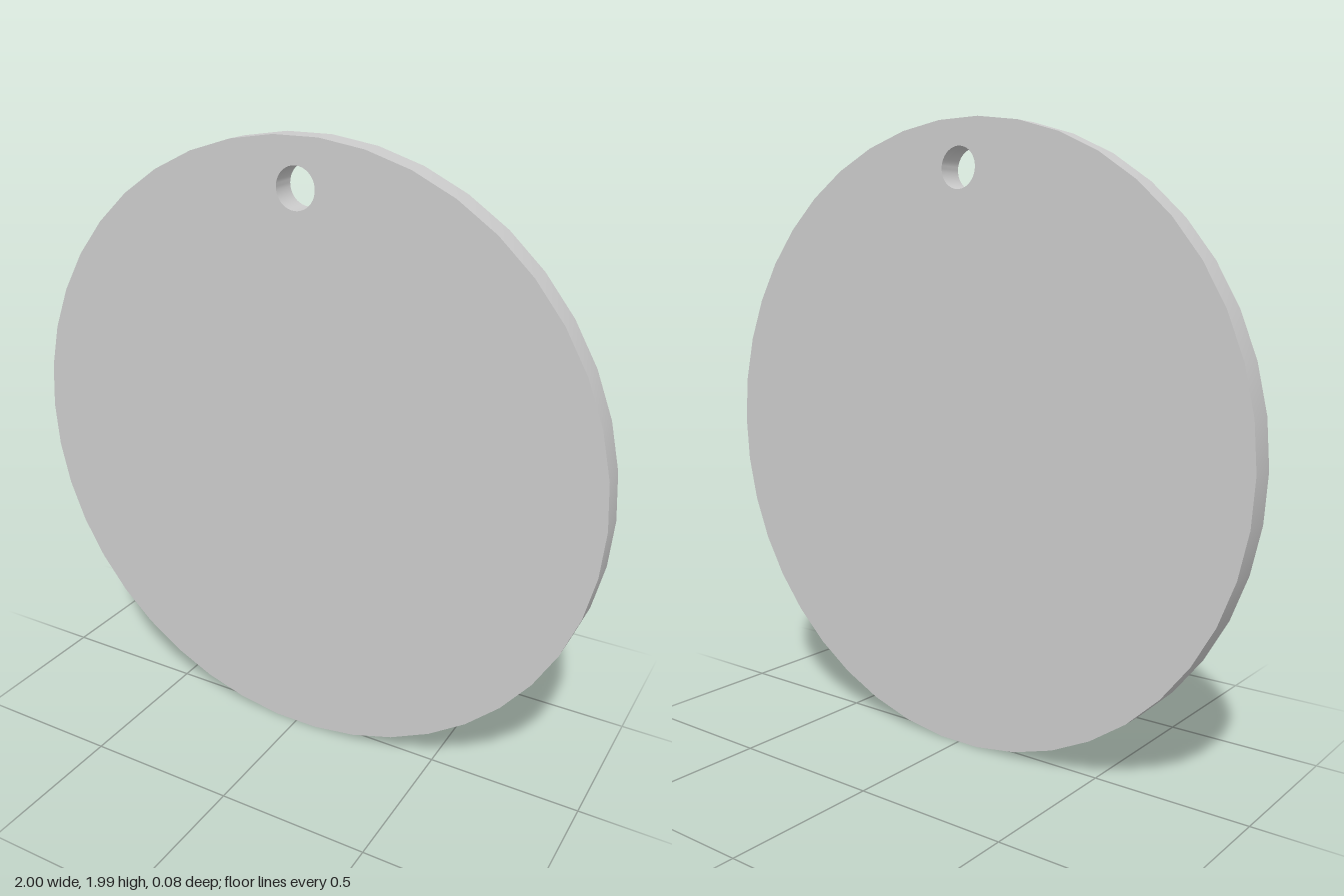
import * as THREE from 'three';
import { toCreasedNormals } from 'three/addons/utils/BufferGeometryUtils.js';

const RADIUS = 1;
const THICKNESS = 0.082;
const HOLE_RADIUS = 0.065;
const HOLE_HEIGHT = 0.85; // above the disc centre

export function createModel() {
  const group = new THREE.Group();
  group.name = 'roundTag';

  // Round outline with a hanging hole near the top
  const outline = new THREE.Shape();
  outline.absarc(0, 0, RADIUS, 0, Math.PI * 2, false);
  const hole = new THREE.Path();
  hole.absarc(0, HOLE_HEIGHT, HOLE_RADIUS, 0, Math.PI * 2, true);
  outline.holes.push(hole);

  // 42-sided disc: smooth rim and hole wall, sharp edges to the flat faces
  const extruded = new THREE.ExtrudeGeometry(outline, {
    depth: THICKNESS,
    bevelEnabled: false,
    curveSegments: 21,
  });
  extruded.translate(0, RADIUS, -THICKNESS / 2);

  const disc = new THREE.Mesh(
    toCreasedNormals(extruded, Math.PI / 6),
    new THREE.MeshStandardMaterial({ color: 0xcccccc })
  );
  disc.name = 'tagDisc';
  group.add(disc);

  return group;
}
